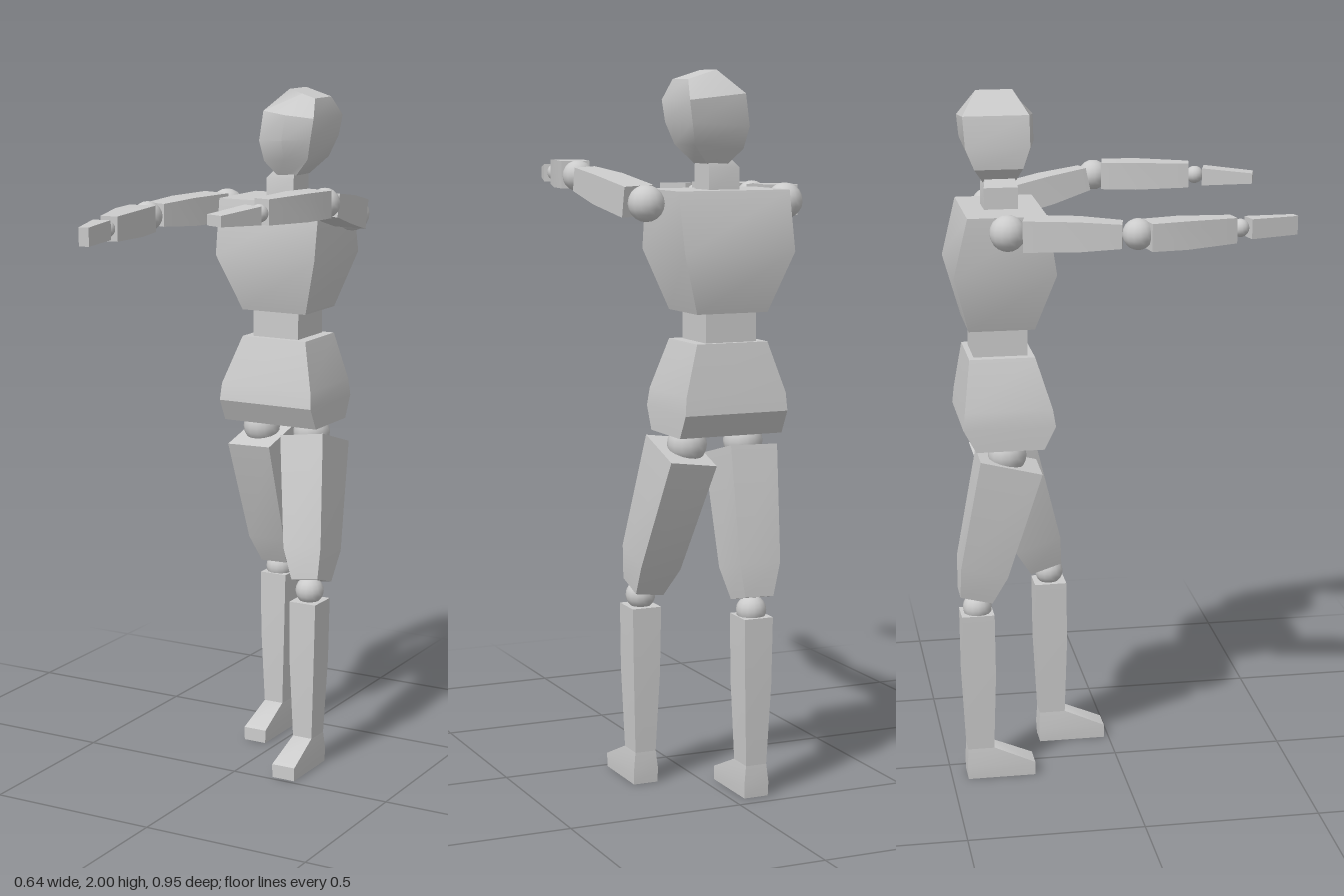
import * as THREE from 'three';
import { toCreasedNormals } from 'three/addons/utils/BufferGeometryUtils.js';

const V = (x, y, z) => new THREE.Vector3(x, y, z);
const material = new THREE.MeshStandardMaterial({ color: 0xcccccc });

// Closed skin over rings of points; each ring runs counterclockwise about the loft axis
function loft(rings) {
  const pos = [];
  const tri = (...p) => p.forEach((v) => pos.push(v.x, v.y, v.z));
  const n = rings[0].length;
  for (let i = 0; i < rings.length - 1; i++) {
    const a = rings[i], b = rings[i + 1];
    for (let j = 0; j < n; j++) {
      const k = (j + 1) % n;
      tri(a[j], a[k], b[k]);
      tri(a[j], b[k], b[j]);
    }
  }
  const first = rings[0], last = rings[rings.length - 1];
  for (let j = 1; j < n - 1; j++) {
    tri(first[0], first[j + 1], first[j]);
    tri(last[0], last[j], last[j + 1]);
  }
  const g = new THREE.BufferGeometry();
  g.setAttribute('position', new THREE.Float32BufferAttribute(pos, 3));
  return toCreasedNormals(g, 0.55);
}

export function createModel() {
  const model = new THREE.Group();
  const add = (name, geometry) => {
    const mesh = new THREE.Mesh(geometry, material);
    mesh.name = name;
    model.add(mesh);
    return mesh;
  };

  // Upright block from levels [y, xMin, xMax, zBack, zFront]
  const block = (name, levels) => add(name, loft(levels.map(([y, x0, x1, z0, z1]) =>
    [V(x0, y, z1), V(x1, y, z1), V(x1, y, z0), V(x0, y, z0)])));

  // Four-sided limb from a to b, with sections [t, width, depth]
  const limb = (name, a, b, sections) => {
    const start = V(...a), end = V(...b);
    const axis = end.clone().sub(start).normalize();
    const s = V(1, 0, 0).addScaledVector(axis, -axis.x).normalize();
    const t = axis.clone().cross(s);
    add(name, loft(sections.map(([f, w, d]) => {
      const c = start.clone().lerp(end, f);
      return [[-1, -1], [1, -1], [1, 1], [-1, 1]].map(([i, j]) =>
        c.clone().addScaledVector(s, i * w / 2).addScaledVector(t, j * d / 2));
    })));
  };

  const joint = (name, p, r) =>
    add(name, new THREE.SphereGeometry(r, 14, 10)).position.set(...p);

  // Torso
  block('chest', [
    [1.35, -0.11, 0.10, -0.43, -0.245],
    [1.515, -0.17, 0.156, -0.475, -0.19],
    [1.68, -0.172, 0.157, -0.435, -0.215],
  ]);
  block('waist', [
    [1.26, -0.083, 0.067, -0.415, -0.263],
    [1.36, -0.083, 0.067, -0.415, -0.263],
  ]);
  block('pelvis', [
    [1.015, -0.16, 0.146, -0.42, -0.228],
    [1.08, -0.16, 0.145, -0.455, -0.195],
    [1.13, -0.157, 0.14, -0.45, -0.203],
    [1.27, -0.11, 0.10, -0.43, -0.245],
  ]);
  block('neck', [
    [1.67, -0.05, 0.04, -0.375, -0.28],
    [1.74, -0.05, 0.04, -0.375, -0.28],
    [1.76, -0.03, 0.04, -0.37, -0.285],
  ]);

  // Head leaning to its left: levels [xL, yL, xR, yR, zBack, zFront, bulge of the face]
  add('head', loft([
    [-0.013, 1.745, 0.045, 1.75, -0.37, -0.285, 0],
    [-0.05, 1.79, 0.093, 1.8, -0.4, -0.265, 0.012],
    [-0.056, 1.85, 0.112, 1.86, -0.425, -0.245, 0.02],
    [-0.042, 1.937, 0.122, 1.92, -0.43, -0.245, 0.02],
    [0.024, 2.0, 0.107, 1.975, -0.385, -0.283, 0],
  ].map(([xl, yl, xr, yr, zb, zf, bulge]) => [
    V(xl, yl, zf), V((xl + xr) / 2, (yl + yr) / 2, zf + bulge), V(xr, yr, zf),
    V(xr, yr, zb), V(xl, yl, zb),
  ])));

  // Legs: the left one steps forward
  const legs = [
    { side: 'left', hip: [0.082, 0.985, -0.325], top: [0.096, 0.967, -0.318],
      low: [0.155, 0.565, -0.19], knee: [0.157, 0.54, -0.175], x: 0.157, z: -0.175 },
    { side: 'right', hip: [-0.088, 0.985, -0.325], top: [-0.083, 0.963, -0.32],
      low: [-0.072, 0.56, -0.422], knee: [-0.072, 0.525, -0.416], x: -0.072, z: -0.418 },
  ];
  for (const { side, hip, top, low, knee, x, z } of legs) {
    joint(side + 'Hip', hip, 0.055);
    limb(side + 'Thigh', top, low, [[0, 0.14, 0.18], [0.78, 0.122, 0.138], [1, 0.085, 0.095]]);
    joint(side + 'Knee', knee, 0.042);
    limb(side + 'Shin', [x, 0.51, z], [x, 0.09, z + 0.003],
      [[0, 0.086, 0.094], [0.45, 0.08, 0.094], [1, 0.062, 0.076]]);
    block(side + 'Foot', [
      [0, x - 0.036, x + 0.036, z - 0.036, z + 0.161],
      [0.04, x - 0.037, x + 0.037, z - 0.038, z + 0.161],
      [0.093, x - 0.031, x + 0.031, z - 0.035, z + 0.041],
    ]);
  }

  // Arms reaching forward, bowed outward
  const arms = [
    { side: 'left', shoulder: [0.206, 1.645, -0.332], upper: [[0.218, 1.65, -0.302], [0.27, 1.703, -0.045]],
      elbow: [0.277, 1.71, -0.018], fore: [[0.274, 1.712, 0.007], [0.227, 1.712, 0.255]],
      wrist: [0.23, 1.71, 0.274], hand: [[0.224, 1.708, 0.297], [0.185, 1.705, 0.437]],
      palm: [[0, 0.063, 0.05], [1, 0.052, 0.03]] },
    { side: 'right', shoulder: [-0.21, 1.645, -0.33], upper: [[-0.222, 1.645, -0.287], [-0.277, 1.645, -0.027]],
      elbow: [-0.278, 1.645, 0.015], fore: [[-0.28, 1.641, 0.04], [-0.236, 1.641, 0.288]],
      wrist: [-0.233, 1.643, 0.307], hand: [[-0.233, 1.643, 0.329], [-0.201, 1.641, 0.47]],
      palm: [[0, 0.052, 0.055], [1, 0.029, 0.052]] },
  ];
  for (const { side, shoulder, upper, elbow, fore, wrist, hand, palm } of arms) {
    joint(side + 'Shoulder', shoulder, 0.05);
    limb(side + 'UpperArm', ...upper, [[0, 0.093, 0.085], [0.55, 0.09, 0.082], [1, 0.067, 0.066]]);
    joint(side + 'Elbow', elbow, 0.043);
    limb(side + 'Forearm', ...fore, [[0, 0.081, 0.076], [0.4, 0.084, 0.078], [1, 0.051, 0.07]]);
    joint(side + 'Wrist', wrist, 0.025);
    limb(side + 'Hand', ...hand, palm);
  }
  return model;
}
